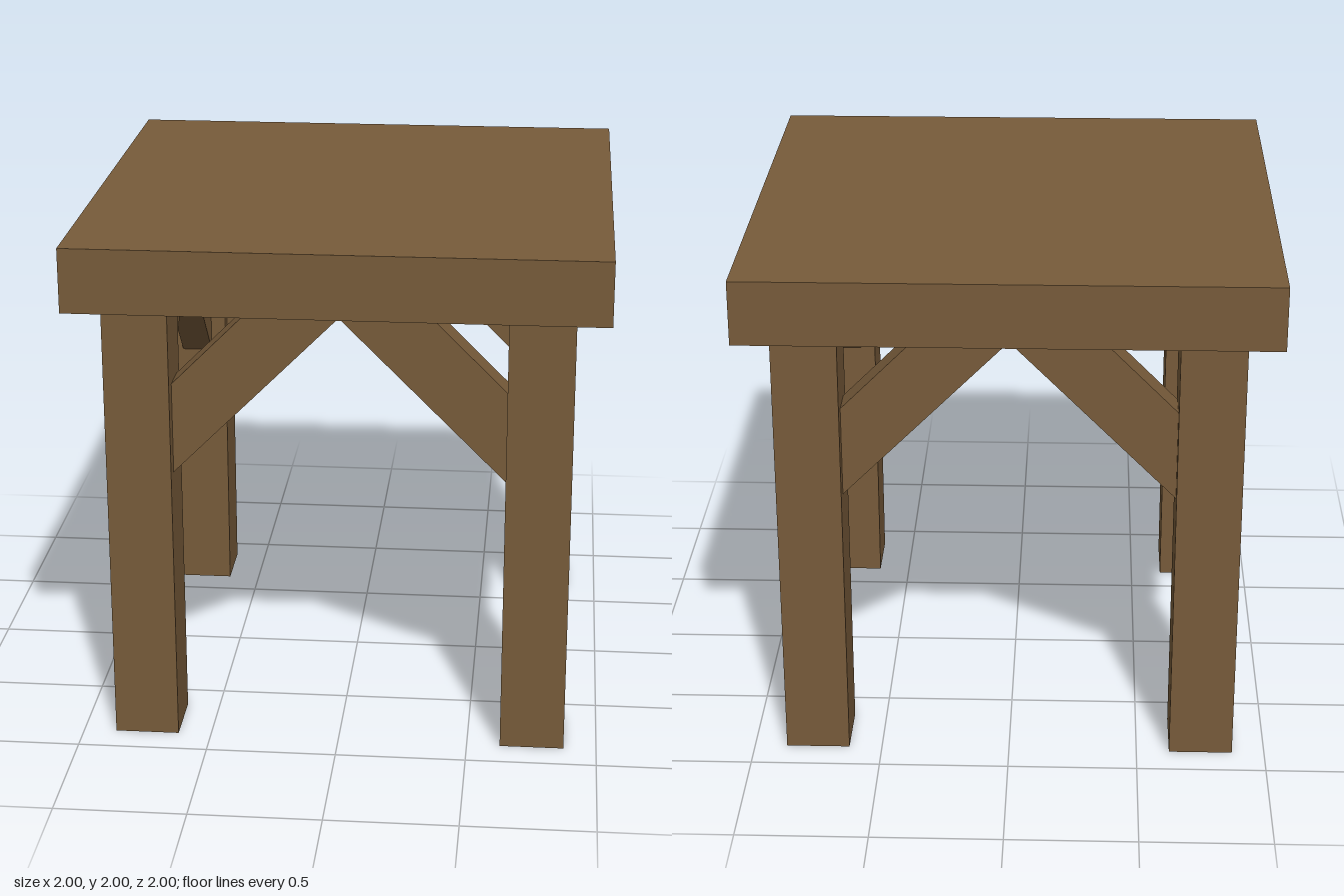
import * as THREE from 'three';

const POST = 0.246;       // post width
const TOP = 0.245;        // slab thickness
const OFFSET = 0.751;     // post centre from the middle
const BRACE = [0.926, 0.25, 0.125]; // length, depth, thickness

export function createModel() {
  const model = new THREE.Group();
  const wood = new THREE.MeshStandardMaterial({ color: 0x775b3a });
  wood.name = 'brown wood';

  function addBox(parent, name, size, position) {
    const mesh = new THREE.Mesh(new THREE.BoxGeometry(...size), wood);
    mesh.name = name;
    mesh.position.set(...position);
    parent.add(mesh);
    return mesh;
  }

  // Square slab top
  addBox(model, 'tableTop', [2, TOP, 2], [0, 2 - TOP / 2, 0]);

  // Each side: one corner post and a pair of diagonal braces in line with the posts
  const height = 2 - TOP;
  ['front', 'left', 'back', 'right'].forEach((sideName, i) => {
    const side = new THREE.Group();
    side.name = sideName + 'Side';
    side.rotation.y = i * Math.PI / 2;
    model.add(side);

    addBox(side, 'cornerPost', [POST, height, POST], [OFFSET, height / 2, OFFSET]);

    // Brace ends are housed in the post and the slab
    for (const s of [-1, 1]) {
      const brace = addBox(side, s < 0 ? 'rightBrace' : 'leftBrace', BRACE, [s * 0.4225, 1.4575, OFFSET]);
      brace.rotation.z = -s * Math.PI / 4;
    }
  });

  return model;
}
